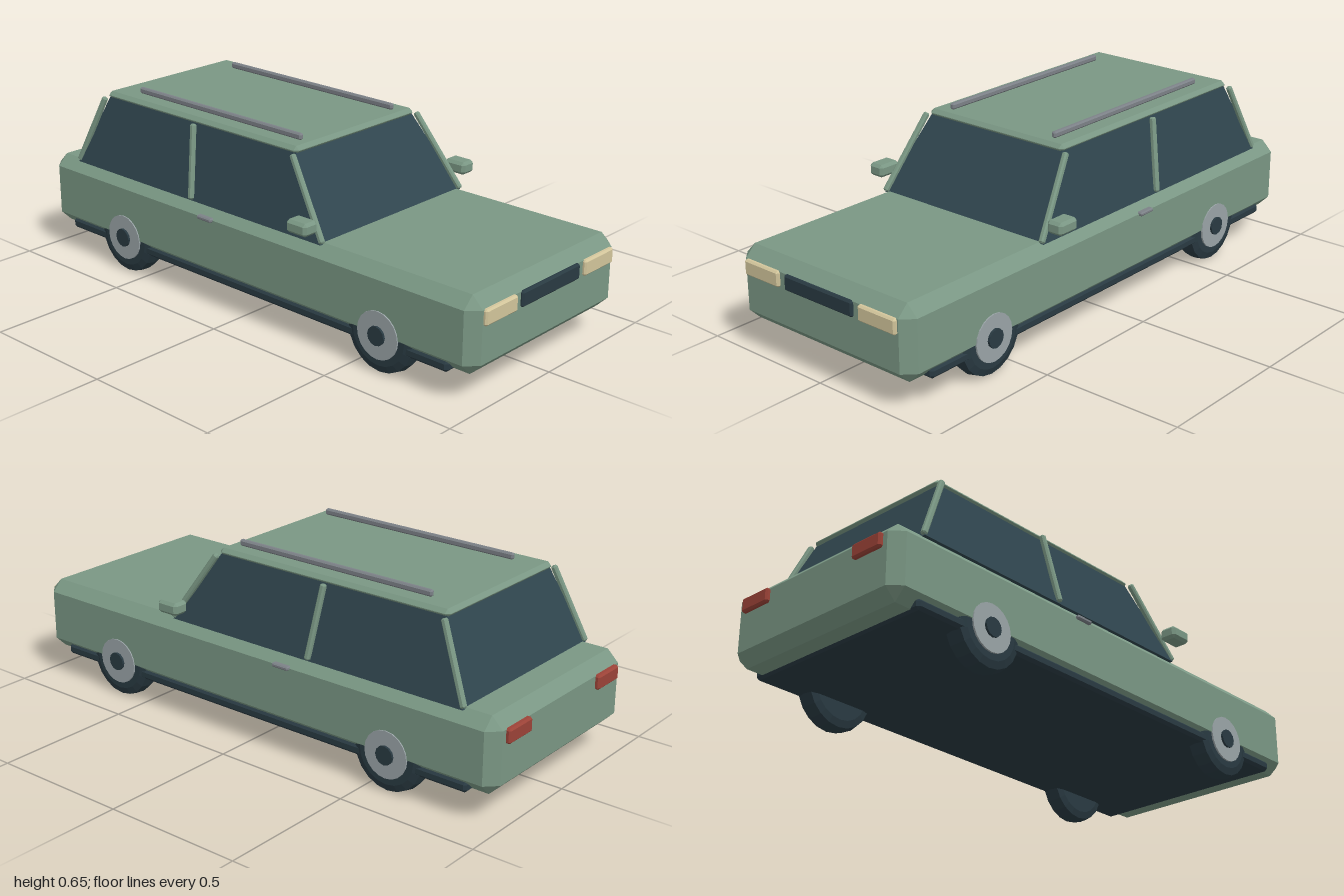
import * as THREE from 'three';
import { ConvexGeometry } from 'three/addons/geometries/ConvexGeometry.js';

const mat = (name, color) => new THREE.MeshStandardMaterial({ name, color });

// Box with every edge and corner cut by c, given by its min and max corners
function chamferBox(min, max, c) {
  const pts = [];
  for (const x of [0, 1]) for (const y of [0, 1]) for (const z of [0, 1]) {
    const s = [x, y, z];
    for (let keep = 0; keep < 3; keep++) {
      const p = s.map((k, i) => (k ? max[i] : min[i]) + (i === keep ? 0 : k ? -c : c));
      pts.push(new THREE.Vector3(...p));
    }
  }
  return new ConvexGeometry(pts);
}

// Flat-faced solid of revolution along x, from [radius, x] pairs
function turned(profile, sides) {
  const g = new THREE.LatheGeometry(profile.map(([r, h]) => new THREE.Vector2(r, h)), sides)
    .rotateZ(-Math.PI / 2).toNonIndexed();
  g.computeVertexNormals();
  return g;
}

export function createModel() {
  const car = new THREE.Group();
  car.name = 'car';
  const paint = mat('green paint', 0x7a9784);
  const glass = mat('dark glass', 0x30464f);
  const dark = mat('dark rubber', 0x293a42);
  const metal = mat('hub metal', 0x9aa4a7);
  const trim = mat('grey trim', 0x7c8187);
  const lens = mat('cream lens', 0xd2c59b);
  const red = mat('red lens', 0x9c4338);

  const add = (name, geometry, material, parent = car) => {
    const m = new THREE.Mesh(geometry, material);
    m.name = name;
    parent.add(m);
    return m;
  };
  const block = (name, min, max, c, material) => add(name, chamferBox(min, max, c), material);
  // Block on one side, x measured outwards from the middle
  const sideBlock = (name, s, min, max, c, material) => {
    const xs = [s * min[0], s * max[0]].sort((a, b) => a - b);
    return block(name, [xs[0], min[1], min[2]], [xs[1], max[1], max[2]], c, material);
  };
  // Square bar between two points
  const bar = (name, a, b, t) => {
    const from = new THREE.Vector3(...a), to = new THREE.Vector3(...b);
    const h = from.distanceTo(to) / 2;
    const m = add(name, chamferBox([-t / 2, -h, -t / 2], [t / 2, h, t / 2], t * 0.25), paint);
    m.position.copy(from).add(to).multiplyScalar(0.5);
    m.quaternion.setFromUnitVectors(new THREE.Vector3(0, 1, 0), to.sub(from).normalize());
  };

  // Main body and floor
  block('body', [-0.38, 0.1, -0.985], [0.38, 0.36, 0.985], 0.04, paint);
  block('underfloor', [-0.375, 0.092, -0.885], [0.375, 0.13, 0.885], 0.01, dark);

  // Tapered glasshouse and roof
  const cabin = [];
  for (const s of [-1, 1]) {
    cabin.push(new THREE.Vector3(s * 0.358, 0.355, 0.352), new THREE.Vector3(s * 0.358, 0.355, -0.852),
      new THREE.Vector3(s * 0.29, 0.612, 0.18), new THREE.Vector3(s * 0.29, 0.612, -0.737));
  }
  add('windows', new ConvexGeometry(cabin), glass);
  block('roof', [-0.297, 0.602, -0.748], [0.297, 0.63, 0.19], 0.013, paint);

  // Front and rear trim
  block('grille', [-0.152, 0.268, 0.97], [0.152, 0.322, 0.995], 0.006, dark);

  for (const s of [-1, 1]) {
    sideBlock('headlight', s, [0.178, 0.268, 0.97], [0.336, 0.322, 0.997], 0.006, lens);
    sideBlock('tailLight', s, [0.197, 0.272, -1], [0.322, 0.322, -0.97], 0.006, red);
    sideBlock('roofRail', s, [0.218, 0.63, -0.64], [0.236, 0.652, 0.15], 0.005, trim);
    sideBlock('mirror', s, [0.37, 0.4, 0.268], [0.432, 0.445, 0.355], 0.01, paint);
    sideBlock('doorHandle', s, [0.37, 0.313, -0.19], [0.392, 0.327, -0.122], 0.004, trim);

    // Window pillars
    bar('frontPillar', [s * 0.352, 0.36, 0.355], [s * 0.31, 0.61, 0.185], 0.02);
    bar('middlePillar', [s * 0.36, 0.36, -0.248], [s * 0.312, 0.612, -0.278], 0.02);
    bar('rearPillar', [s * 0.352, 0.36, -0.852], [s * 0.31, 0.61, -0.742], 0.02);

    // Wheels, turned so the hub faces outwards
    for (const z of [0.615, -0.585]) {
      const wheel = new THREE.Group();
      wheel.name = z > 0 ? 'frontWheel' : 'rearWheel';
      wheel.position.set(s * 0.34, 0.135, z);
      if (s < 0) wheel.rotation.y = Math.PI;
      add('tyre', turned([[0, -0.038], [0.105, -0.038], [0.129, -0.03], [0.135, 0],
        [0.129, 0.03], [0.105, 0.038], [0, 0.038]], 20), dark, wheel);
      add('hub', turned([[0.082, 0.03], [0.082, 0.044], [0, 0.044]], 20), metal, wheel);
      add('hubCap', turned([[0.033, 0.04], [0.033, 0.052], [0, 0.052]], 12), dark, wheel);
      car.add(wheel);
    }
  }
  return car;
}
